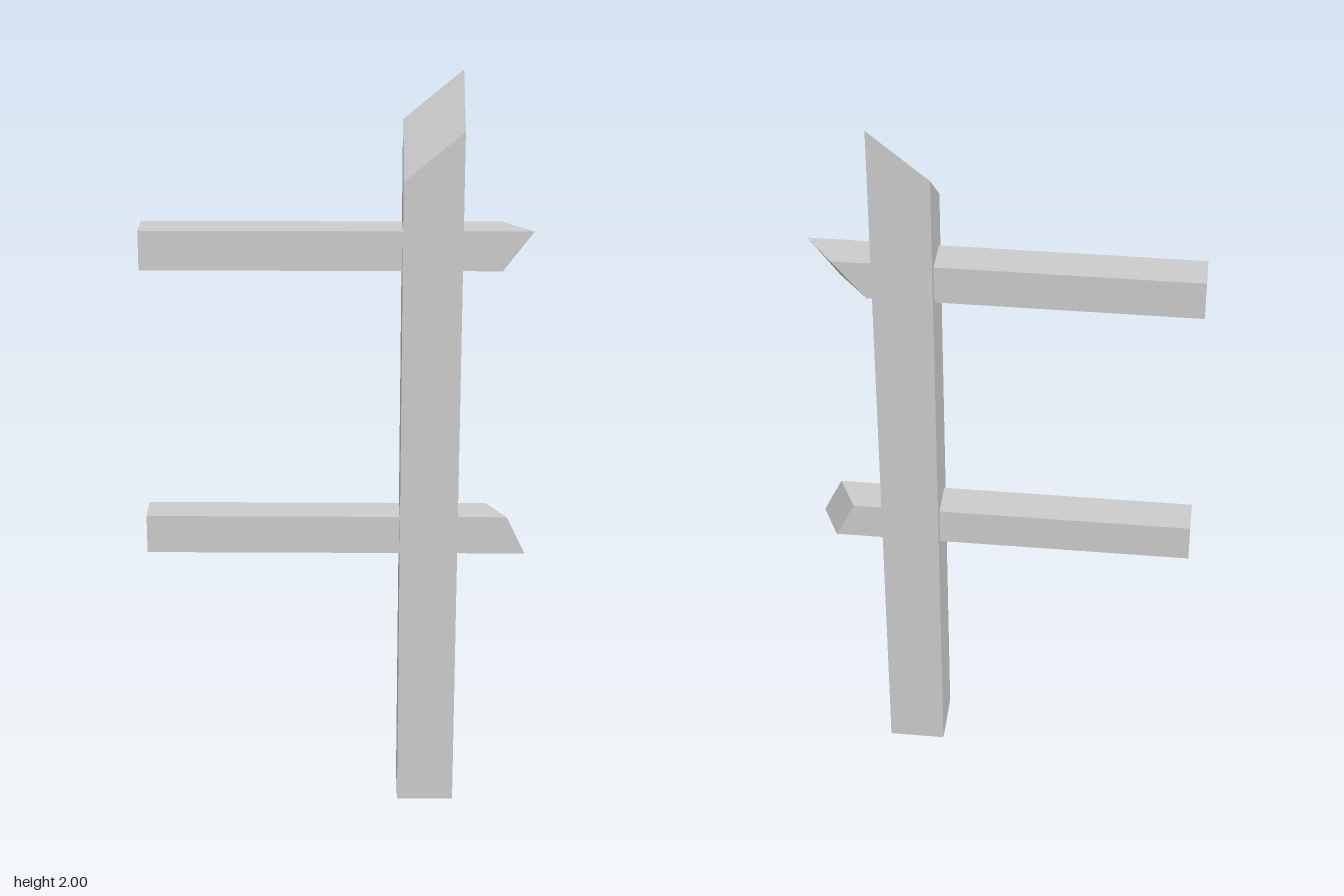
import * as THREE from 'three';

const material = new THREE.MeshStandardMaterial({ color: 0xcccccc, flatShading: true });

// Box between two corners; place(x, y, z) may move each corner to make slanted cuts.
function cutBeam(name, min, max, place) {
  const size = max.map((v, i) => v - min[i]);
  const geometry = new THREE.BoxGeometry(...size);
  geometry.translate(...min.map((v, i) => v + size[i] / 2));
  const p = geometry.attributes.position;
  for (let i = 0; i < p.count; i++) {
    p.setXYZ(i, ...place(p.getX(i), p.getY(i), p.getZ(i)));
  }
  geometry.computeVertexNormals();
  const mesh = new THREE.Mesh(geometry, material);
  mesh.name = name;
  return mesh;
}

// Rail with a slanted break at its +x end; ends lists x for
// [top front, top back, bottom front, bottom back].
function rail(name, y, ends) {
  const half = 0.052;
  return cutBeam(name, [-0.505, y - half, -0.052], [0.503, y + half, 0.05], (px, py, pz) => {
    if (px < 0) return [px, py, pz];
    return [ends[(py > y ? 0 : 2) + (pz > 0 ? 0 : 1)], py, pz];
  });
}

export function createModel() {
  const group = new THREE.Group();
  group.name = 'fencePost';

  // Upright post, its top sloping up towards the back left corner
  group.add(cutBeam('post', [0.169, 0, -0.077], [0.322, 2, 0.077], (x, y, z) => [
    x, y < 1 ? y : 2 - (x < 0.25 ? 0.127 : 0) - (z > 0 ? 0.127 : 0), z,
  ]));

  // Two rails through the post, each with its own broken end
  group.add(rail('upperRail', 1.56, [0.503, 0.428, 0.425, 0.34]));
  group.add(rail('lowerRail', 0.78, [0.453, 0.402, 0.503, 0.453]));

  return group;
}
